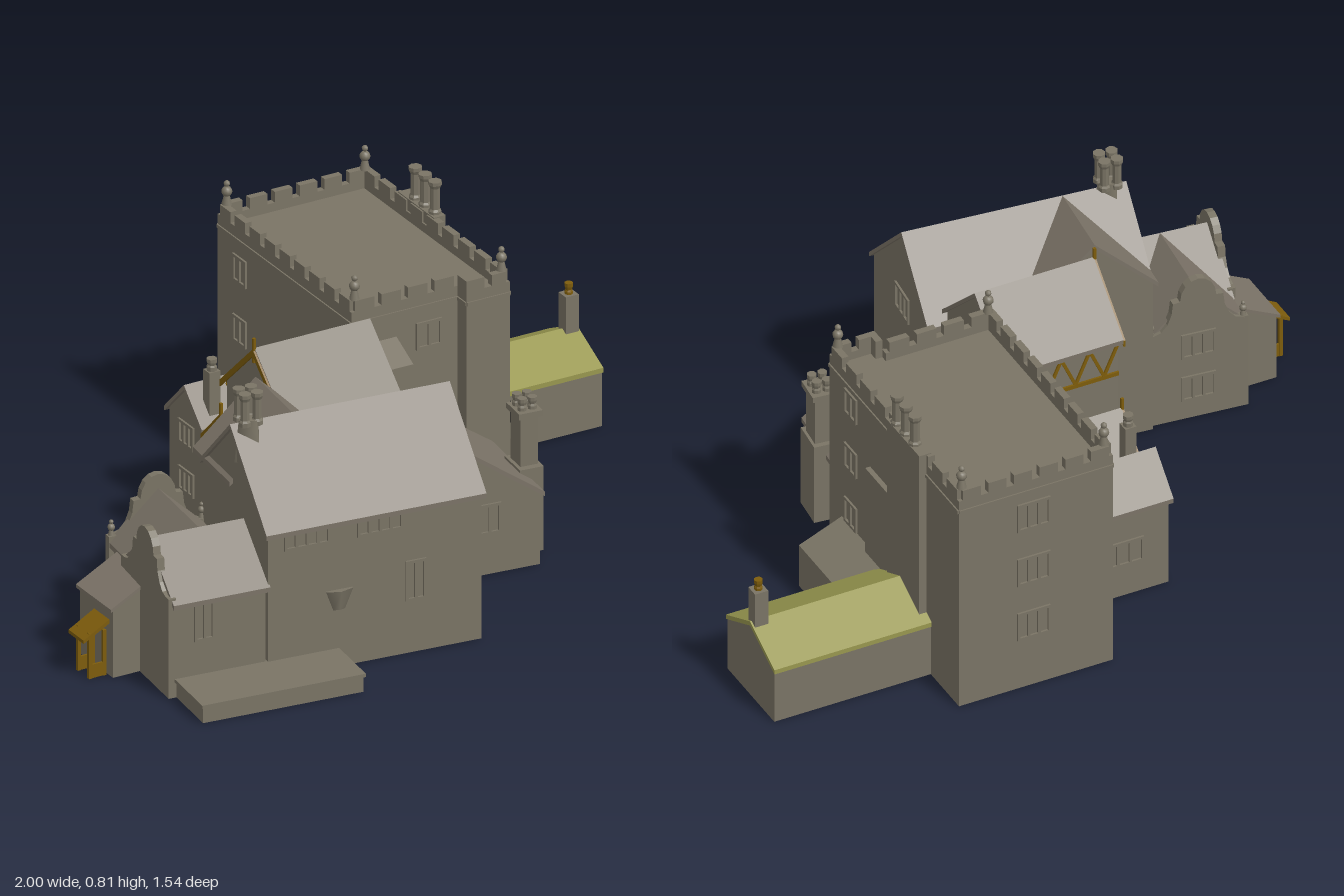
import * as THREE from 'three';

const mat = (name, color, side = THREE.FrontSide) => {
  const m = new THREE.MeshStandardMaterial({ color, side });
  m.name = name;
  return m;
};
const stone = mat('stone', 0x7a7465);
const slate = mat('roof stone', 0x7b7367);
const moss = mat('mossy roof', 0x98974f);
const oak = mat('oak', 0x7d5c0c);
const dark = mat('dark doorway', 0x111114);

const add = (parent, name, geo, m, x = 0, y = 0, z = 0, ry = 0) => {
  const mesh = new THREE.Mesh(geo, m);
  mesh.name = name;
  mesh.position.set(x, y, z);
  mesh.rotation.y = ry;
  parent.add(mesh);
  return mesh;
};
// Box given by its limits
const box = (p, name, m, x0, x1, y0, y1, z0, z1) =>
  add(p, name, new THREE.BoxGeometry(x1 - x0, y1 - y0, z1 - z0), m, (x0 + x1) / 2, (y0 + y1) / 2, (z0 + z1) / 2);

const shapeOf = (pts) => new THREE.Shape(pts.map(([x, y]) => new THREE.Vector2(x, y)));

// Extrude a (u, y) profile along 'x' or 'z', from v0 to v1
function prism(p, name, m, axis, pts, v0, v1) {
  const flip = axis === 'x' ? -1 : 1;
  const g = new THREE.ExtrudeGeometry(shapeOf(pts.map(([u, y]) => [u * flip, y])), { depth: v1 - v0, bevelEnabled: false, curveSegments: 8 });
  g.translate(0, 0, v0);
  if (axis === 'x') g.rotateY(Math.PI / 2);
  return add(p, name, g, m);
}

// Gabled block: ridge at u = c, roof reaching u0 and u1, walls set in by o
function house(p, name, { axis, c, u0, u1, ridge, pitch, v0, v1, o = 0.012, e = 0.01, roof = slate }) {
  const t = 0.014;
  const yAt = (u) => ridge - Math.abs(u - c) * pitch;
  const a = u0 + o, b = u1 - o;
  prism(p, name + 'Walls', stone, axis, [[a, 0], [b, 0], [b, yAt(b) - t / 2], [c, ridge - t / 2], [a, yAt(a) - t / 2]], v0 + e, v1 - e);
  prism(p, name + 'Roof', roof, axis, [[u0, yAt(u0)], [u0, yAt(u0) - t], [c, ridge - t], [u1, yAt(u1) - t], [u1, yAt(u1)], [c, ridge]], v0, v1);
}

// Mullioned window frame, facing +z before turning by ry
function frame(p, name, m, w, h, x, y, z, ry = 0, lights = 2) {
  const s = shapeOf([[-w / 2, 0], [w / 2, 0], [w / 2, h], [-w / 2, h]]);
  const b = 0.008, lw = (w - b * (lights + 1)) / lights;
  for (let i = 0; i < lights; i++) {
    const l = -w / 2 + b + i * (lw + b);
    s.holes.push(new THREE.Path([[l, b], [l, h - b], [l + lw, h - b], [l + lw, b]].map((q) => new THREE.Vector2(...q))));
  }
  add(p, name, new THREE.ExtrudeGeometry(s, { depth: 0.006, bevelEnabled: false }), m, x, y, z, ry);
}

// Octagonal flue with a base and a flared cap
function flue(p, x, z, y0, y1, r, m = stone) {
  const prof = [[0, y0], [r * 1.3, y0], [r * 1.3, y0 + 0.012], [r, y0 + 0.018], [r, y1 - 0.02], [r * 1.35, y1 - 0.01], [r * 1.35, y1], [0, y1]];
  const g = new THREE.LatheGeometry(prof.map(([a, b]) => new THREE.Vector2(a, b)), 8).toNonIndexed();
  g.computeVertexNormals();
  add(p, 'flue', g, m, x, 0, z);
}

// Ball pinnacle
function pinnacle(p, x, z, y, s = 1) {
  const g = new THREE.Group();
  g.name = 'pinnacle';
  g.position.set(x, y, z);
  g.scale.setScalar(s);
  add(g, 'pinnacleBase', new THREE.CylinderGeometry(0.008, 0.015, 0.03, 8), stone, 0, 0.015);
  add(g, 'pinnacleBall', new THREE.SphereGeometry(0.015, 10, 8), stone, 0, 0.04);
  add(g, 'pinnacleTip', new THREE.SphereGeometry(0.009, 8, 6), stone, 0, 0.063);
  p.add(g);
}

// Curved parapet gable profile around u = c
function curvedGable(c, w, shoulder, top) {
  const h = top - shoulder, pts = [[c - w, 0], [c + w, 0], [c + w, shoulder + 0.01]];
  const half = [];
  for (let i = 0; i <= 4; i++) half.push([w * (0.88 - 0.38 * Math.sin((i / 4) * Math.PI / 2)), shoulder + 0.01 + h * 0.55 * (1 - Math.cos((i / 4) * Math.PI / 2))]);
  for (let i = 0; i <= 4; i++) half.push([w * 0.36 * Math.cos((i / 4) * Math.PI / 2), shoulder + h * (0.62 + 0.38 * Math.sin((i / 4) * Math.PI / 2))]);
  half.forEach(([u, y]) => pts.push([c + u, y]));
  half.slice(0, -1).reverse().forEach(([u, y]) => pts.push([c - u, y]));
  pts.push([c - w, shoulder + 0.01]);
  return pts;
}

function buildTower(root) {
  const outline = [[0.06, -0.77], [0.525, -0.77], [0.525, -0.012], [0.39, -0.012], [0.39, -0.06], [0.06, -0.06]];
  const g = new THREE.ExtrudeGeometry(shapeOf(outline.map(([x, z]) => [x, -z])), { depth: 0.655, bevelEnabled: false });
  add(root, 'towerBody', g.rotateX(-Math.PI / 2), stone);
  // Parapet and battlements along each edge
  outline.forEach(([x0, z0], i) => {
    const [x1, z1] = outline[(i + 1) % outline.length];
    const len = Math.hypot(x1 - x0, z1 - z0), dx = (x1 - x0) / len, dz = (z1 - z0) / len;
    const put = (name, s, w, y, h, off, t) =>
      add(root, name, new THREE.BoxGeometry(w, h, t), stone, x0 + dx * s - dz * off, y + h / 2, z0 + dz * s + dx * off, Math.atan2(-dz, dx));
    put('parapet', len / 2, len, 0.65, 0.03, 0.01, 0.02);
    put('stringCourse', len / 2, len, 0.64, 0.01, 0, 0.008);
    const n = Math.max(1, Math.round(len / 0.082)), step = len / n;
    for (let k = 0; k < n; k++) put('merlon', (k + 0.5) * step, len < 0.1 ? len : step - 0.023, 0.68, 0.032, 0.01, 0.02);
  });
  [[0.078, -0.752], [0.508, -0.752], [0.508, -0.028], [0.078, -0.075]].forEach(([x, z]) => pinnacle(root, x, z, 0.71));
  // Side chimney stack with three flues
  box(root, 'towerChimney', stone, 0.51, 0.547, 0, 0.715, -0.58, -0.39);
  box(root, 'towerChimneyShoulder', stone, 0.52, 0.54, 0, 0.46, -0.39, -0.25);
  [-0.418, -0.47, -0.522].forEach((z) => flue(root, 0.53, z, 0.71, 0.81, 0.014));
  // Windows
  for (const y of [0.16, 0.34, 0.52]) {
    frame(root, 'towerBackWindow', stone, 0.1, 0.09, 0.3, y, -0.77, Math.PI, 3);
    frame(root, 'towerSideWindow', stone, 0.07, 0.08, 0.525, y + 0.03, -0.14, Math.PI / 2);
    if (y > 0.4) frame(root, 'towerFrontWindow', stone, 0.08, 0.08, 0.3, y, -0.06);
    frame(root, 'towerInnerWindow', stone, 0.07, 0.08, 0.06, y, -0.65, -Math.PI / 2);
  }
}

function buildHall(root) {
  const h = new THREE.Group();
  h.name = 'greatHall';
  h.position.set(-0.37, 0, 0.353);
  h.rotation.y = -0.107;
  root.add(h);
  house(h, 'hall', { axis: 'x', c: 0.007, u0: -0.19, u1: 0.247, ridge: 0.665, pitch: 0.955, v0: -0.184, v1: 0.464 });
  house(h, 'hallRearWing', { axis: 'z', c: 0, u0: -0.184, u1: 0.19, ridge: 0.664, pitch: 0.94, v0: -0.234, v1: 0.005 });
  // Lower wing with curved gables
  house(h, 'lowWing', { axis: 'x', c: 0.075, u0: -0.1, u1: 0.242, ridge: 0.413, pitch: 0.8, v0: -0.455, v1: -0.17 });
  house(h, 'lowRearWing', { axis: 'z', c: -0.307, u0: -0.45, u1: -0.17, ridge: 0.413, pitch: 0.95, v0: -0.2, v1: 0.075 });
  prism(h, 'rearCurvedGable', stone, 'z', curvedGable(-0.307, 0.145, 0.285, 0.455), -0.21, -0.188);
  prism(h, 'endCurvedGable', stone, 'x', curvedGable(0.075, 0.155, 0.285, 0.445), -0.465, -0.443);
  pinnacle(h, -0.44, -0.2, 0.29, 0.7);
  pinnacle(h, -0.174, -0.2, 0.29, 0.7);
  // Ridge chimney
  add(h, 'hallChimneyBase', new THREE.CylinderGeometry(0.035, 0.05, 0.12, 4), stone, -0.133, 0.62, 0.015, 0.3);
  [[-0.018, 0.02], [0.018, 0.02], [-0.018, -0.02], [0.018, -0.02]].forEach(([x, z]) => flue(h, -0.133 + x, 0.012 + z, 0.665, 0.76, 0.013));
  // Front windows
  [-0.06, 0.155].forEach((x) => frame(h, 'hallUpperWindow', stone, 0.135, 0.055, x, 0.375, 0.235, 0, 4));
  frame(h, 'hallTallWindow', stone, 0.06, 0.12, 0.26, 0.155, 0.235);
  frame(h, 'lowWingWindow', stone, 0.06, 0.12, -0.36, 0.155, 0.23);
  const bay = add(h, 'smallOriel', new THREE.CylinderGeometry(0.045, 0.02, 0.06, 6), stone, 0.035, 0.2, 0.23);
  bay.scale.z = 0.5;
  // Gable end and rear windows
  frame(h, 'gableWindow', stone, 0.1, 0.08, 0.454, 0.38, 0.02, Math.PI / 2, 3);
  frame(h, 'gableLowerWindow', stone, 0.1, 0.1, 0.454, 0.14, 0.05, Math.PI / 2, 3);
  [0.12, 0.34].forEach((y) => frame(h, 'rearWingWindow', stone, 0.11, 0.11, 0, y, -0.224, Math.PI, 3));
  [0.06, 0.2].forEach((y) => frame(h, 'lowRearWindow', stone, 0.1, 0.08, -0.307, y, -0.21, Math.PI, 3));
  // Terrace and step
  box(h, 'terrace', stone, -0.442, 0.03, 0, 0.045, 0.2, 0.405);
  box(h, 'terraceCoping', stone, -0.447, 0.035, 0.045, 0.055, 0.2, 0.41);
  box(h, 'terraceStep', stone, 0.03, 0.05, 0, 0.022, 0.27, 0.33);
}

function buildFrontWing(root) {
  const w = new THREE.Group();
  w.name = 'frontWing';
  w.position.set(0.2, 0, 0.3);
  w.rotation.y = -0.107;
  root.add(w);
  prism(w, 'frontWingWalls', stone, 'z', [[-0.11, 0], [0.225, 0], [0.225, 0.215], [0, 0.375], [-0.11, 0.3]], -0.36, -0.005);
  prism(w, 'frontWingRoof', slate, 'z', [[-0.12, 0.303], [-0.12, 0.29], [0, 0.372], [0.236, 0.203], [0.236, 0.217], [0, 0.385]], -0.36, 0.003);
  frame(w, 'frontWingWindow', stone, 0.1, 0.09, 0.06, 0.12, -0.005, 0, 3);
  // Chimney on the outer wall
  box(w, 'wingChimneyBase', stone, 0.2, 0.27, 0, 0.25, -0.18, -0.08);
  box(w, 'wingChimneyShaft', stone, 0.21, 0.262, 0.25, 0.4, -0.165, -0.1);
  box(w, 'wingChimneyCap', stone, 0.202, 0.272, 0.395, 0.412, -0.175, -0.09);
  [-0.15, -0.115].forEach((z) => [0.222, 0.252].forEach((x) => flue(w, x, z, 0.41, 0.447, 0.01)));
  // Stair block against the tower
  prism(root, 'stairBlock', stone, 'x', [[-0.07, 0], [0.03, 0], [0.03, 0.53], [-0.07, 0.58]], 0.05, 0.2);
}

function buildRearWings(root) {
  house(root, 'timberedWing', { axis: 'x', c: 0.03, u0: -0.145, u1: 0.22, ridge: 0.7, pitch: 0.93, v0: -0.295, v1: 0.065 });
  house(root, 'rearWing', { axis: 'x', c: -0.43, u0: -0.535, u1: -0.335, ridge: 0.385, pitch: 1, v0: -0.245, v1: 0.065 });
  house(root, 'middleWing', { axis: 'x', c: -0.23, u0: -0.345, u1: -0.13, ridge: 0.385, pitch: 1, v0: -0.245, v1: 0.065 });
  // Oak framing under the rear eave
  const z = -0.136;
  [0.42, 0.525].forEach((y) => box(root, 'oakRail', oak, -0.285, 0.06, y, y + 0.012, z - 0.003, z + 0.003));
  for (let i = 0; i < 8; i++) {
    const x = -0.262 + i * 0.043;
    const brace = add(root, 'oakBrace', new THREE.BoxGeometry(0.1, 0.009, 0.005), oak, x, 0.478, z);
    brace.rotation.z = i % 2 ? 1.15 : -1.15;
  }
  // Oak bargeboards and finials
  const verge = (c, half, ridge, pitch, x) => {
    prism(root, 'bargeboard', oak, 'x', [[c - half, ridge - half * pitch], [c - half, ridge - half * pitch - 0.02], [c, ridge - 0.02], [c + half, ridge - half * pitch - 0.02], [c + half, ridge - half * pitch], [c, ridge]], x - 0.006, x);
    box(root, 'gableFinial', oak, x - 0.006, x + 0.002, ridge - 0.04, ridge + 0.032, c - 0.004, c + 0.004);
  };
  verge(0.03, 0.175, 0.697, 0.93, -0.295);
  verge(-0.23, 0.1, 0.383, 1, -0.245);
  // Gable windows
  [0.13, 0.32].forEach((y) => [-0.07, 0.06].forEach((c) => frame(root, 'oakWindow', oak, 0.08, 0.12, -0.285, y, c, -Math.PI / 2, 2)));
  [-0.43, -0.235].forEach((c) => [0.06, 0.2].forEach((y) => frame(root, 'wingGableWindow', stone, 0.08, 0.07, -0.235, y, c, -Math.PI / 2, 3)));
  frame(root, 'rearWingWindow', stone, 0.12, 0.08, -0.1, 0.1, -0.523, Math.PI, 3);
  box(root, 'rearWingChimney', stone, -0.207, -0.173, 0.25, 0.44, -0.392, -0.358);
  flue(root, -0.19, -0.375, 0.44, 0.475, 0.011);
}

function buildOuthouses(root) {
  // Low service wing with mossy roof
  house(root, 'serviceWing', { axis: 'x', c: -0.467, u0: -0.61, u1: -0.325, ridge: 0.245, pitch: 0.49, v0: 0.52, v1: 1, o: 0.005, e: 0.002, roof: moss });
  box(root, 'serviceChimney', stone, 0.955, 0.995, 0.2, 0.345, -0.487, -0.447);
  flue(root, 0.975, -0.467, 0.34, 0.377, 0.009, oak);
  box(root, 'serviceDoor', dark, 0.67, 0.715, 0, 0.145, -0.334, -0.326);
  // Lean-to beside the tower
  prism(root, 'leanTo', stone, 'z', [[0.52, 0], [0.655, 0], [0.655, 0.135], [0.52, 0.19]], -0.335, -0.085);
  frame(root, 'leanToDoor', stone, 0.045, 0.11, 0.655, 0, -0.288, Math.PI / 2, 1);
  // Side annex and oak porch
  prism(root, 'annex', stone, 'z', [[-0.92, 0], [-0.8, 0], [-0.8, 0.262], [-0.92, 0.2]], 0.17, 0.345);
  prism(root, 'annexRoof', slate, 'z', [[-0.93, 0.197], [-0.8, 0.264], [-0.8, 0.274], [-0.93, 0.207]], 0.165, 0.35);
  prism(root, 'porchRoof', oak, 'z', [[-1, 0.112], [-0.918, 0.155], [-0.918, 0.167], [-1, 0.122]], 0.245, 0.325);
  [-0.975, -0.931].forEach((x) => [0.255, 0.315].forEach((z) => box(root, 'porchPost', oak, x - 0.005, x + 0.005, 0, 0.135, z - 0.005, z + 0.005)));
  [0.255, 0.315].forEach((z) => box(root, 'porchSide', oak, -0.975, -0.925, 0, 0.04, z - 0.003, z + 0.003));
}

export function createModel() {
  const root = new THREE.Group();
  root.name = 'manorHouse';
  [buildTower, buildHall, buildFrontWing, buildRearWings, buildOuthouses].forEach((build) => build(root));
  return root;
}
